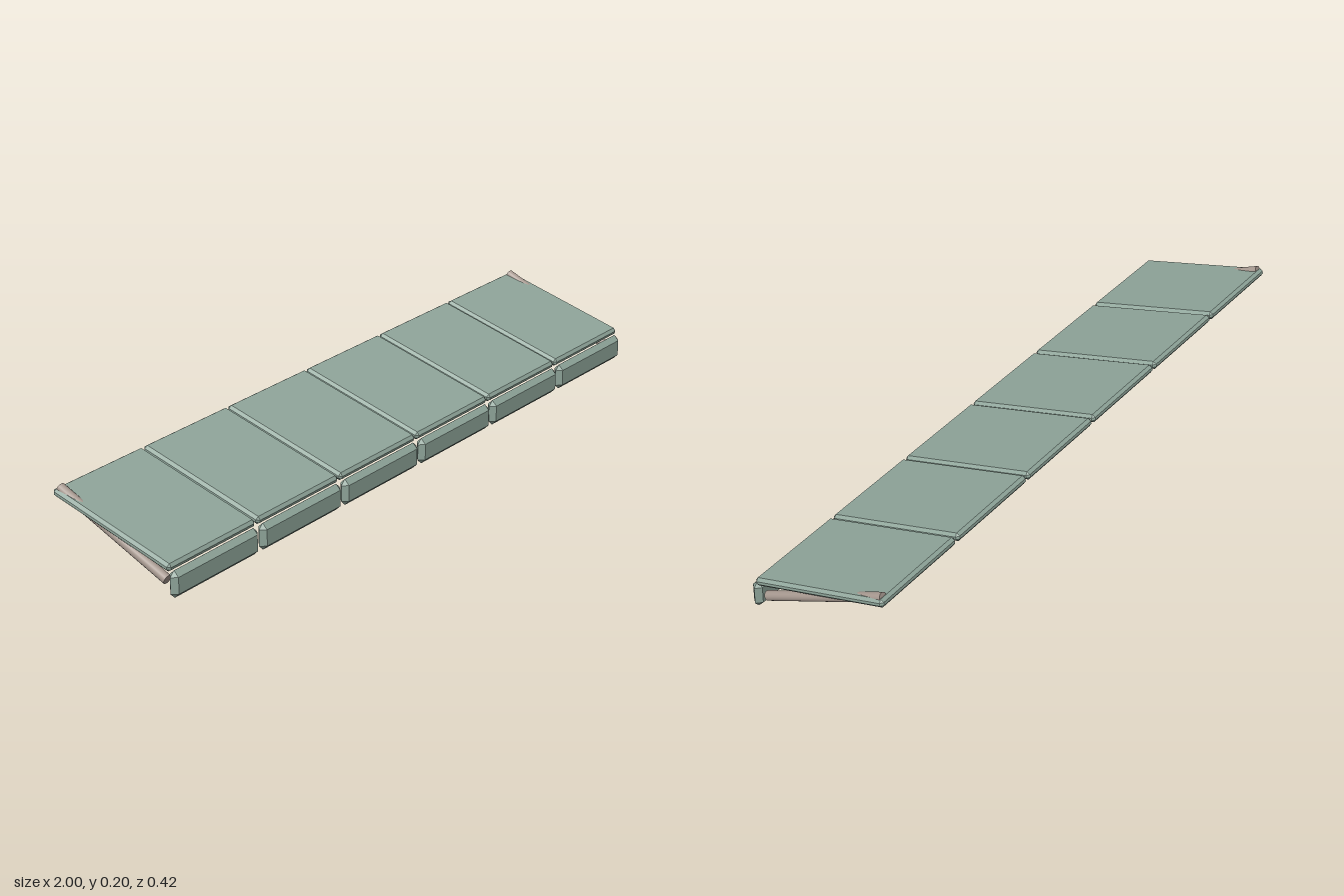
import * as THREE from 'three';
import { ConvexGeometry } from 'three/addons/geometries/ConvexGeometry.js';

// Box with every edge and corner cut flat by r
function chamferBox(w, h, d, r) {
  const points = [];
  for (const x of [-1, 1]) for (const y of [-1, 1]) for (const z of [-1, 1]) {
    const X = x * w / 2, Y = y * h / 2, Z = z * d / 2;
    const ix = X - x * r, iy = Y - y * r, iz = Z - z * r;
    points.push(
      new THREE.Vector3(X, iy, iz),
      new THREE.Vector3(ix, Y, iz),
      new THREE.Vector3(ix, iy, Z));
  }
  return new ConvexGeometry(points);
}

export function createModel() {
  const group = new THREE.Group();
  group.name = 'awning';

  const canvas = new THREE.MeshStandardMaterial({ color: 0x8fa59a });
  canvas.name = 'sage canvas';
  const wood = new THREE.MeshStandardMaterial({ color: 0xa6988f });
  wood.name = 'taupe pole';

  const add = (name, geometry, material, x, y, z, tilt = 0) => {
    const mesh = new THREE.Mesh(geometry, material);
    mesh.name = name;
    mesh.position.set(x, y, z);
    mesh.rotation.x = tilt;
    group.add(mesh);
  };

  // Six sloping roof panels, each with a hanging valance at the front
  const count = 6, pitch = 0.3345, width = 0.3275;
  const panel = chamferBox(width, 0.024, 0.415, 0.008);
  const valance = chamferBox(width, 0.077, 0.03, 0.0149);
  for (let i = 0; i < count; i++) {
    const x = (i - (count - 1) / 2) * pitch;
    add('roofPanel', panel, canvas, x, 0.1285, -0.0075, 0.223);
    add('valance', valance, canvas, x, 0.0385, 0.198);
  }

  // Support pole under each end, its tip passing through the roof
  const pole = new THREE.CylinderGeometry(0.0137, 0.0137, 0.395, 16);
  for (const side of [-1, 1]) {
    add('supportPole', pole, wood, side * 0.98, 0.111, -0.0145, Math.atan2(-0.368, 0.143));
  }
  return group;
}
